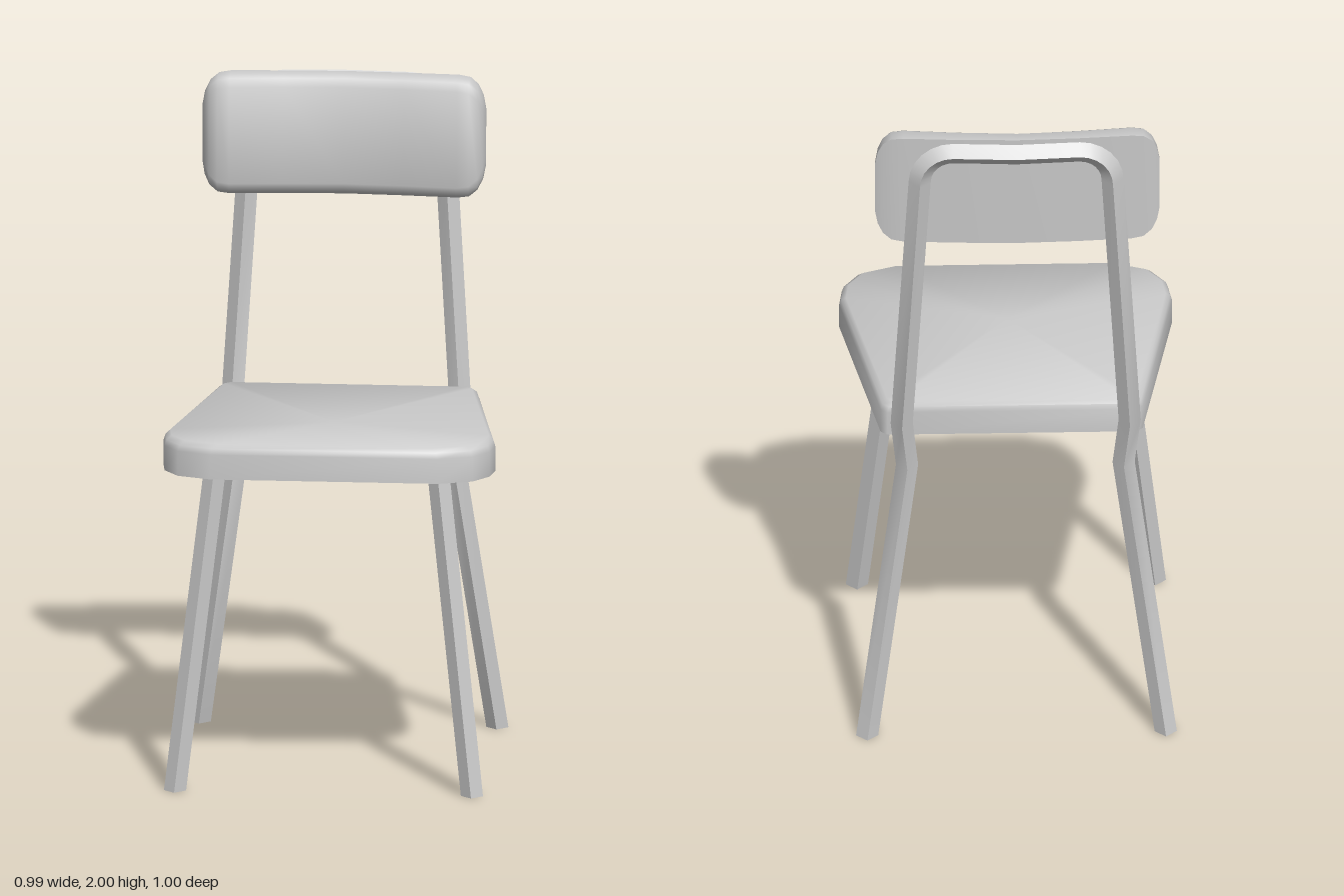
import * as THREE from 'three';
import { toCreasedNormals } from 'three/addons/utils/BufferGeometryUtils.js';

const material = new THREE.MeshStandardMaterial({ color: 0xcccccc });

// Skin a list of rings (each counterclockwise around the travel direction) and cap both ends.
function loft(name, rings, crease) {
  const pos = [];
  const tri = (a, b, c) => [a, b, c].forEach((p) => pos.push(p.x, p.y, p.z));
  const n = rings[0].length;
  for (let i = 0; i < rings.length - 1; i++) {
    for (let j = 0; j < n; j++) {
      const k = (j + 1) % n;
      const [a, b, c, d] = [rings[i][j], rings[i][k], rings[i + 1][k], rings[i + 1][j]];
      tri(a, b, c);
      tri(a, c, d);
    }
  }
  const cap = (ring, flip) => {
    const mid = ring.reduce((s, p) => s.add(p), new THREE.Vector3()).divideScalar(n);
    ring.forEach((p, j) => {
      const q = ring[(j + 1) % n];
      flip ? tri(mid, q, p) : tri(mid, p, q);
    });
  };
  cap(rings[0], true);
  cap(rings[rings.length - 1], false);
  const geometry = new THREE.BufferGeometry();
  geometry.setAttribute('position', new THREE.Float32BufferAttribute(pos, 3));
  const mesh = new THREE.Mesh(toCreasedNormals(geometry, crease), material);
  mesh.name = name;
  return mesh;
}

// Square bar, one corner pointing backwards, swept along a path with level-cut ends.
function bar(name, points, startDir, endDir) {
  const r = 0.033;
  const rings = points.map((p, i) => {
    let t;
    if (i === 0) t = startDir;
    else if (i === points.length - 1) t = endDir;
    else {
      const before = p.clone().sub(points[i - 1]).normalize();
      t = points[i + 1].clone().sub(p).normalize().add(before).normalize();
    }
    const back = new THREE.Vector3(0, 0, -1);
    back.addScaledVector(t, -back.dot(t)).normalize();
    const side = t.clone().cross(back);
    return [[back, r], [side, r], [back, -r], [side, -r]].map(([v, s]) => p.clone().addScaledVector(v, s));
  });
  return loft(name, rings, 0.6);
}

const V = (x, y, z) => new THREE.Vector3(x, y, z);
const UP = V(0, 1, 0);
const DOWN = V(0, -1, 0);

// Tapered cushion with clipped corners and a softened upper rim
function createSeat() {
  const half = [[0.34, 0.5], [0.44, 0.46], [0.485, 0.39], [0.495, 0.31], [0.39, -0.33], [0.37, -0.35]];
  const outline = [...half, ...half.map(([x, z]) => [-x, z]).reverse()];
  const levels = [[0.96, 0, 0], [1.035, 0, 0], [1.053, 0.006, 0.002], [1.065, 0.02, 0.012]];
  const rings = levels.map(([y, dx, dz]) =>
    outline.map(([x, z]) => V(x - Math.sign(x) * dx, y, z - Math.sign(z) * dz)));
  const seat = loft('seat', rings, 1.0);
  seat.position.x = -0.0025;
  return seat;
}

// Back legs and the top rail are one bent bar
function createBackFrame() {
  const half = [V(0.444, 0, -0.462), V(0.322, 0.855, -0.345), V(0.339, 1.02, -0.385)];
  const steps = 6;
  for (let i = 0; i <= steps; i++) {
    const a = (i / steps) * Math.PI / 2;
    half.push(V(0.187 + 0.1 * Math.cos(a), 1.865 + 0.1 * Math.sin(a), -0.432 - 0.008 * (i / steps)));
  }
  const mirrored = half.map((p) => V(-p.x, p.y, p.z)).reverse();
  const frame = bar('backFrame', [...half, V(0, 1.965, -0.452), ...mirrored], UP, DOWN);
  frame.position.x = -0.013;
  return frame;
}

// Curved panel lofted sideways: [distance from middle, half height, front z, back z]
function createBackrest() {
  const half = [
    [0.423, 0.085, -0.366, -0.378], [0.415, 0.125, -0.345, -0.382], [0.4, 0.155, -0.328, -0.387],
    [0.375, 0.175, -0.319, -0.394], [0.34, 0.18, -0.32, -0.399], [0.18, 0.18, -0.338, -0.411],
  ];
  const sections = [
    ...half.map(([x, ...rest]) => [-x, ...rest]),
    [0, 0.18, -0.352, -0.418],
    ...half.slice().reverse(),
  ];
  const rings = sections.map(([x, h, f, b]) => {
    const d = f - b;
    const upper = [[h, b], [h, f - d * 0.4], [h - 0.01, f - d * 0.15], [h - 0.035, f]];
    const profile = [...upper, ...upper.map(([y, z]) => [-y, z]).reverse()];
    return profile.map(([y, z]) => V(x, 1.82 + y, z - y * 0.05));
  });
  const backrest = loft('backrest', rings, 0.9);
  backrest.position.x = -0.018;
  return backrest;
}

export function createModel() {
  const chair = new THREE.Group();
  chair.name = 'chair';
  chair.add(createSeat(), createBackFrame(), createBackrest());

  // Splayed front legs
  for (const [name, s] of [['leftFrontLeg', 1], ['rightFrontLeg', -1]]) {
    const leg = bar(name, [V(s * 0.443, 0, 0.457), V(s * 0.331, 0.98, 0.345)], UP, UP);
    leg.position.x = -0.0075;
    chair.add(leg);
  }
  return chair;
}
